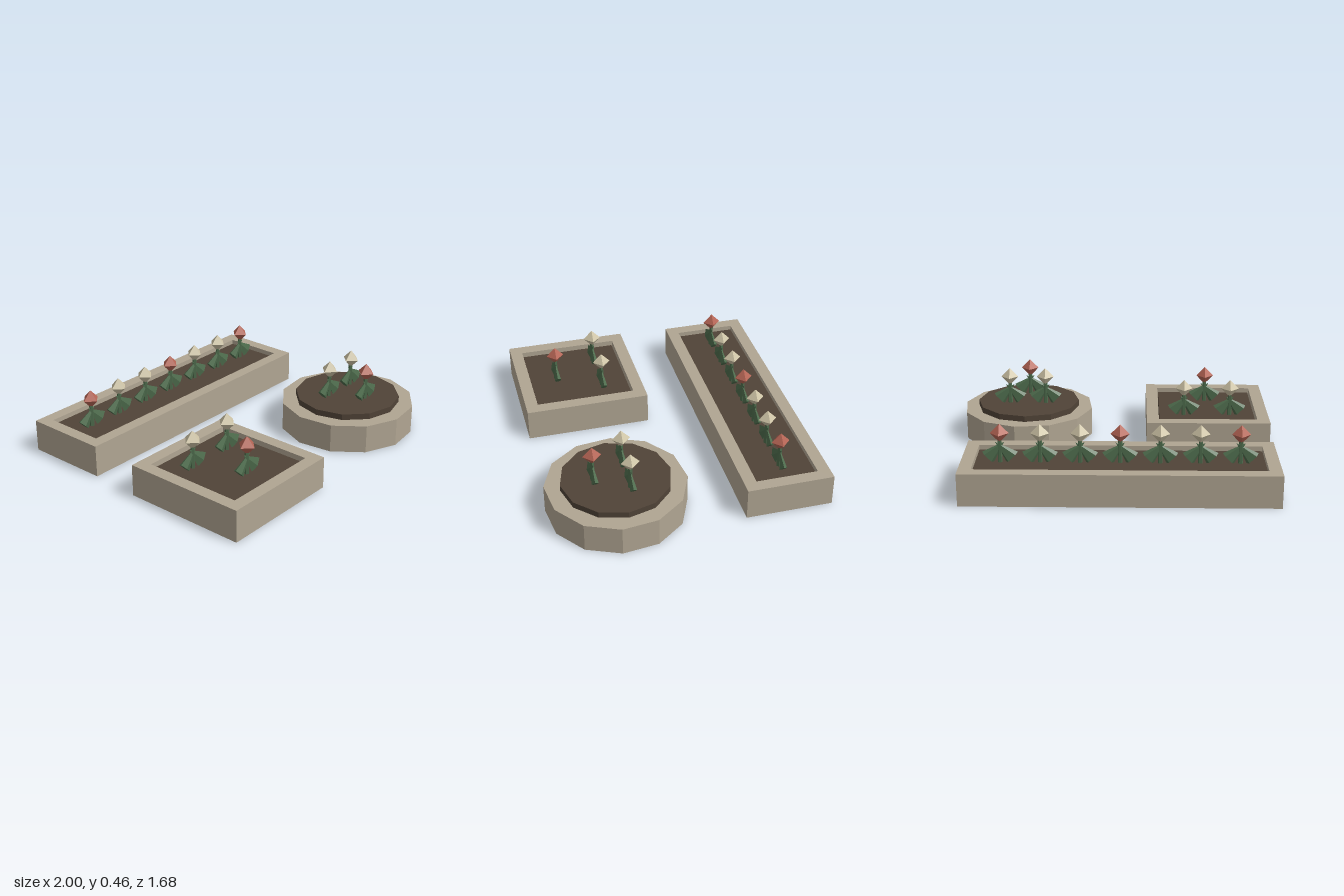
import * as THREE from 'three';

const mat = (color) => new THREE.MeshStandardMaterial({ color, flatShading: true });
const stone = mat(0xb0a592);
const soil = mat(0x504337);
const green = mat(0x4d6b4c);
const red = mat(0xb56454);
const cream = mat(0xcec4a6);

function add(parent, name, geometry, material, x = 0, y = 0, z = 0) {
  const mesh = new THREE.Mesh(geometry, material);
  mesh.name = name;
  mesh.position.set(x, y, z);
  parent.add(mesh);
  return mesh;
}

// Rectangular outline
function rectangle(Type, w, d) {
  const path = new Type();
  path.moveTo(-w / 2, -d / 2);
  path.lineTo(w / 2, -d / 2);
  path.lineTo(w / 2, d / 2);
  path.lineTo(-w / 2, d / 2);
  path.closePath();
  return path;
}

// Open stone frame, without a floor
function frameGeometry(w, d, wall, h) {
  const shape = rectangle(THREE.Shape, w, d);
  shape.holes.push(rectangle(THREE.Path, w - 2 * wall, d - 2 * wall));
  return new THREE.ExtrudeGeometry(shape, { depth: h, bevelEnabled: false }).rotateX(-Math.PI / 2);
}

// Flower: stem, two flattened cone leaves leaning outwards, octahedral bloom
function flower(parent, x, y, z, bloomMaterial) {
  const plant = new THREE.Group();
  plant.name = 'flower';
  plant.position.set(x, y, z);
  add(plant, 'stem', new THREE.CylinderGeometry(0.012, 0.015, 0.16, 5), green, 0, 0.08, 0);
  for (const side of [-1, 1]) {
    const leaf = add(plant, 'leaf', new THREE.ConeGeometry(0.05, 0.14, 5), green, side * 0.022, 0.077, 0);
    leaf.rotation.z = side * Math.PI / 4;
    leaf.scale.z = 0.42;
  }
  const bloom = add(plant, 'bloom', new THREE.OctahedronGeometry(0.056), bloomMaterial, 0, 0.18, 0);
  bloom.scale.y = 1.04;
  parent.add(plant);
}

// Rectangular planter with a thick bed of soil just below the rim
function boxPlanter(name, x, z, w, d, soilW, soilD, wall) {
  const planter = new THREE.Group();
  planter.name = name;
  planter.position.set(x, 0, z);
  add(planter, 'stoneFrame', frameGeometry(w, d, wall, 0.2), stone);
  add(planter, 'soil', new THREE.BoxGeometry(soilW, 0.11, soilD), soil, 0, 0.115, 0);
  return planter;
}

export function createModel() {
  const model = new THREE.Group();
  model.name = 'flowerPlanters';

  // Long planter with a row of seven flowers
  const long = boxPlanter('longPlanter', -0.048, -0.572, 1.864, 0.536, 1.712, 0.384, 0.076);
  for (let i = 0; i < 7; i++) {
    flower(long, (i - 3) * 0.236, 0.17, 0, i % 3 === 0 ? red : cream);
  }
  model.add(long);

  // Square planter, soil slightly smaller than the opening
  const square = boxPlanter('squarePlanter', -0.606, 0.415, 0.788, 0.788, 0.62, 0.62, 0.078);
  flower(square, -0.15, 0.17, -0.142, cream);
  flower(square, 0.15, 0.17, -0.142, cream);
  flower(square, 0, 0.17, 0.138, red);
  model.add(square);

  // Round planter with raised soil
  const round = new THREE.Group();
  round.name = 'roundPlanter';
  round.position.set(0.575, 0, 0.414);
  const drum = add(round, 'stoneDrum', new THREE.CylinderGeometry(0.428, 0.428, 0.18, 12), stone, 0, 0.09, 0);
  drum.rotation.y = -0.14;
  add(round, 'soil', new THREE.CylinderGeometry(0.334, 0.334, 0.06, 12), soil, 0, 0.188, 0);
  flower(round, -0.117, 0.22, -0.062, cream);
  flower(round, 0.117, 0.22, -0.062, cream);
  flower(round, 0, 0.22, 0.138, red);
  model.add(round);

  return model;
}
